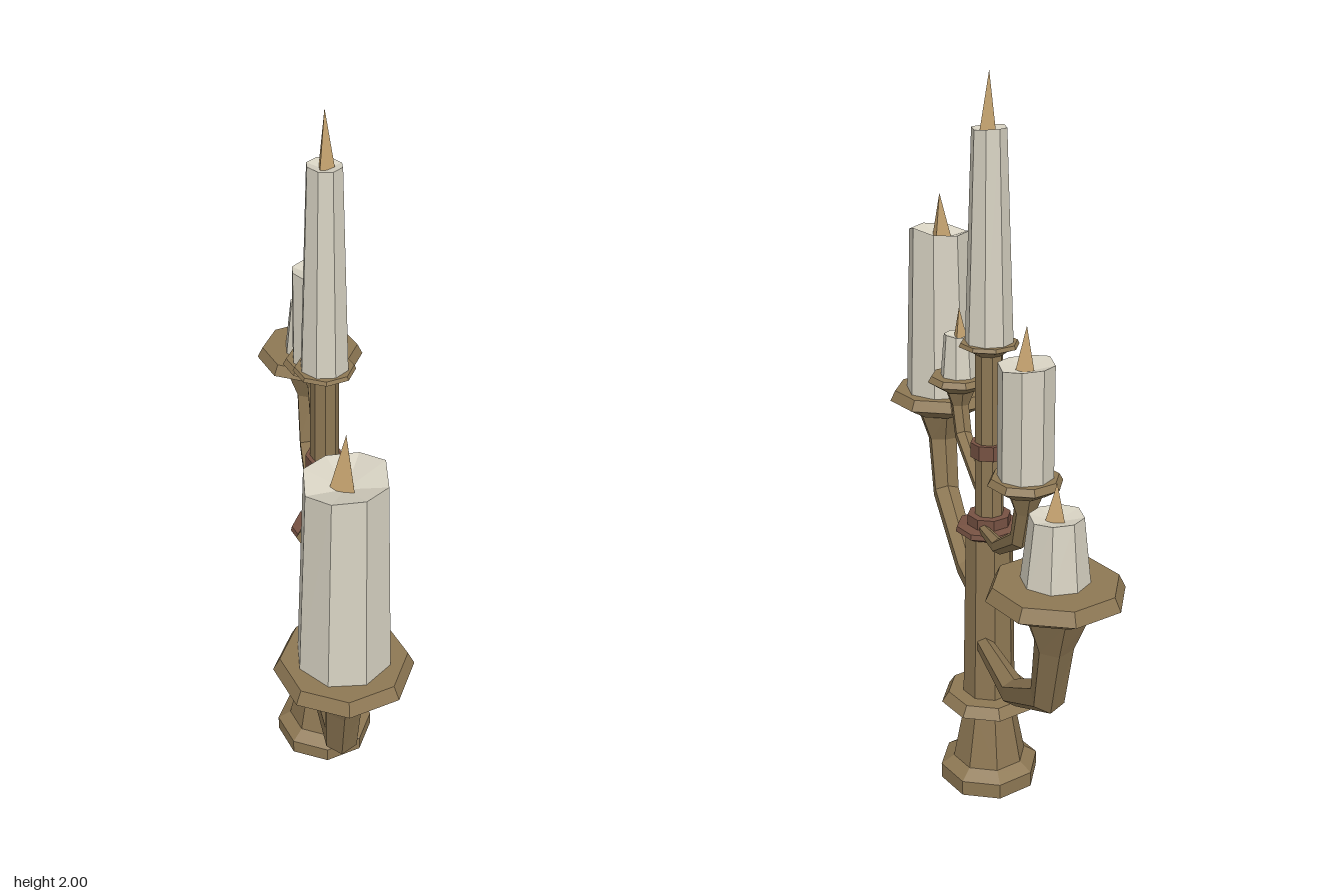
import * as THREE from 'three';

const material = (name, color) => {
  const m = new THREE.MeshStandardMaterial({ color });
  m.name = name;
  return m;
};

export function createModel() {
  const brass = material('brass', 0x8e7854);
  const copper = material('copper', 0x775243);
  const wax = material('wax', 0xd7d2c2);
  const flameGold = material('flame', 0xcba873);
  const model = new THREE.Group();
  model.name = 'candelabra';

  // Faceted mesh: unshared corners give flat normals
  function add(parent, name, geometry, mat) {
    const flat = geometry.toNonIndexed();
    flat.computeVertexNormals();
    const mesh = new THREE.Mesh(flat, mat);
    mesh.name = name;
    parent.add(mesh);
    return mesh;
  }

  // Eight-sided turned part from [radius, height] pairs, bottom to top
  const turned = (profile) =>
    new THREE.LatheGeometry(profile.map(([r, y]) => new THREE.Vector2(r, y)), 8);

  // Tapered six-sided sweep through [x, y, z, radius] stations rising in the yz plane
  function sweep(stations, sides = 6) {
    const pos = [], index = [];
    stations.forEach(([x, y, z, r], i) => {
      const a = stations[Math.max(i - 1, 0)];
      const b = stations[Math.min(i + 1, stations.length - 1)];
      const len = Math.hypot(b[1] - a[1], b[2] - a[2]);
      const ny = (b[2] - a[2]) / len, nz = -(b[1] - a[1]) / len;
      for (let k = 0; k < sides; k++) {
        const t = (k / sides) * Math.PI * 2;
        const c = Math.cos(t) * r, s = Math.sin(t) * r;
        pos.push(x + s, y + ny * c, z + nz * c);
      }
    });
    for (let i = 0; i < stations.length - 1; i++) {
      for (let k = 0; k < sides; k++) {
        const a = i * sides + k, b = i * sides + ((k + 1) % sides);
        index.push(a, a + sides, b, b, a + sides, b + sides);
      }
    }
    const g = new THREE.BufferGeometry();
    g.setAttribute('position', new THREE.Float32BufferAttribute(pos, 3));
    g.setIndex(index);
    return g;
  }

  // Candle with an uneven, dished top and a three-sided flame
  function candle(parent, name, z, y, rBottom, rTop, top, tip, flameR, lift) {
    const group = new THREE.Group();
    group.name = name;
    group.position.z = z;
    const h = top - y, dip = rTop * 0.2;
    const g = new THREE.CylinderGeometry(rTop, rBottom, h, 8, 1, false, Math.PI / 8);
    const p = g.attributes.position;
    for (let i = 0; i < p.count; i++) {
      if (p.getY(i) < 0) continue;
      const x = p.getX(i), pz = p.getZ(i);
      const t = Math.atan2(pz, x);
      const onRim = Math.hypot(x, pz) > 0.001;
      const rise = lift * (0.4 + 0.6 * Math.sin(t * 2 + 2.5) * Math.cos(t + 0.6));
      p.setY(i, h / 2 + (onRim ? rise : -dip));
    }
    g.translate(0, y + h / 2, 0);
    add(group, 'wax', g, wax);
    const flameBase = top - dip - 0.002;
    const f = new THREE.ConeGeometry(flameR, tip - flameBase, 3, 1, false, -Math.PI / 2);
    f.translate(0, (tip + flameBase) / 2, 0);
    add(group, 'flame', f, flameGold);
    parent.add(group);
    return group;
  }

  // Central column
  add(model, 'base', turned([[0, 0], [0.142, 0], [0.142, 0.045], [0.105, 0.07], [0.075, 0.225],
    [0.08, 0.225], [0.138, 0.255], [0.118, 0.285], [0.075, 0.285], [0.066, 0.78], [0, 0.78]]), brass);
  add(model, 'lowerCollar', turned([[0.06, 0.777], [0.075, 0.777], [0.093, 0.788], [0.09, 0.802],
    [0.06, 0.805], [0.06, 0.834], [0.03, 0.836]]), copper);
  add(model, 'stem', turned([[0.04, 0.8], [0.037, 1.3]]), brass);
  add(model, 'stemRing', turned([[0.03, 1.002], [0.051, 1.002], [0.051, 1.043],
    [0.03, 1.043]]), copper);
  add(model, 'topCup', turned([[0.035, 1.285], [0.055, 1.3], [0.081, 1.31], [0.076, 1.32],
    [0, 1.32]]), brass);
  candle(model, 'centreCandle', 0, 1.318, 0.064, 0.045, 1.862, 2, 0.025, 0.006).rotation.y = Math.PI;

  // A branch carries one large and one small arm, each ending in a drip pan
  function branch(name, turn) {
    const group = new THREE.Group();
    group.name = name;
    group.rotation.y = turn;
    add(group, 'largeArm', sweep([[-0.025, 0.453, 0.03, 0.024], [-0.015, 0.487, 0.362, 0.036],
      [0, 0.635, 0.624, 0.043], [0, 0.8, 0.672, 0.047], [0, 0.9, 0.677, 0.085]]), brass);
    const largePan = add(group, 'largePan', turned([[0, 0.895], [0.095, 0.895], [0.163, 0.934],
      [0.147, 0.966], [0, 0.966]]), brass);
    largePan.position.z = 0.68;
    add(group, 'smallArm', sweep([[-0.025, 0.805, 0.04, 0.014], [-0.02, 0.83, 0.205, 0.021],
      [-0.004, 0.924, 0.362, 0.026], [0, 1.01, 0.388, 0.027], [0, 1.07, 0.39, 0.05]]), brass);
    const smallPan = add(group, 'smallPan', turned([[0, 1.06], [0.055, 1.06], [0.094, 1.085],
      [0.084, 1.102], [0, 1.102]]), brass);
    smallPan.position.z = 0.392;
    model.add(group);
    return group;
  }

  const front = branch('frontBranch', 0);
  candle(front, 'tallCandle', 0.672, 0.965, 0.112, 0.094, 1.458, 1.578, 0.036, 0.027);
  candle(front, 'shortCandle', 0.392, 1.1, 0.056, 0.045, 1.222, 1.305, 0.023, 0.006);
  const back = branch('backBranch', Math.PI);
  candle(back, 'stubCandle', 0.672, 0.965, 0.08, 0.062, 1.12, 1.2, 0.028, 0.007);
  candle(back, 'mediumCandle', 0.392, 1.1, 0.069, 0.068, 1.378, 1.475, 0.028, 0.012);
  return model;
}
